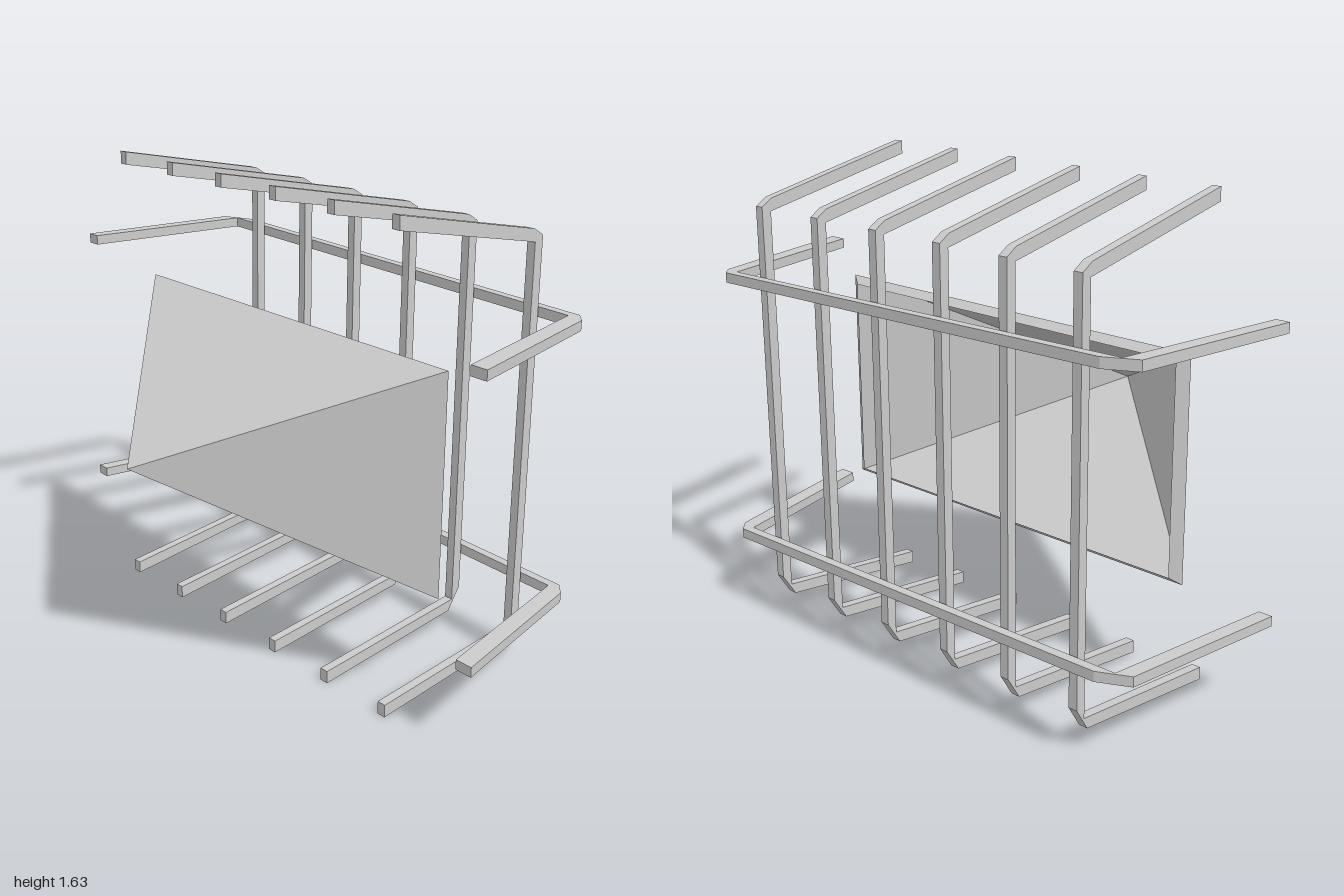
import * as THREE from 'three';

const material = new THREE.MeshStandardMaterial({ color: 0xcccccc, flatShading: true });
const openMaterial = new THREE.MeshStandardMaterial({ color: 0xcccccc, flatShading: true, side: THREE.DoubleSide });

// Bent flat-sided bar: closed outline extruded symmetrically by its thickness
function barGeometry(outline, thickness) {
  const shape = new THREE.Shape(outline.map(([x, y]) => new THREE.Vector2(x, y)));
  const geo = new THREE.ExtrudeGeometry(shape, { depth: thickness, bevelEnabled: false });
  return geo.translate(0, 0, -thickness / 2);
}

// Rectangular ring of corners at a given x
function ring(x, y0, y1, z0, z1) {
  return [[x, y0, z0], [x, y0, z1], [x, y1, z1], [x, y1, z0]];
}

// Open reflector: four-sided funnel with an inward-turned rim
function reflectorGeometry() {
  const apex = [-0.59, 0.78, 0];
  const outer = ring(0.06, 0.405, 1.158, -0.738, 0.748);
  const inner = ring(0.09, 0.43, 1.135, -0.705, 0.703);
  const pos = [];
  for (let i = 0; i < 4; i++) {
    const j = (i + 1) % 4;
    pos.push(...apex, ...outer[j], ...outer[i]);
    pos.push(...outer[i], ...outer[j], ...inner[j]);
    pos.push(...outer[i], ...inner[j], ...inner[i]);
  }
  const geo = new THREE.BufferGeometry();
  geo.setAttribute('position', new THREE.Float32BufferAttribute(pos, 3));
  geo.computeVertexNormals();
  return geo;
}

export function createModel() {
  const model = new THREE.Group();
  model.name = 'lampWithGuard';

  const add = (name, geo, mat = material) => {
    const mesh = new THREE.Mesh(geo, mat);
    mesh.name = name;
    model.add(mesh);
    return mesh;
  };

  add('reflector', reflectorGeometry(), openMaterial);

  // Upright guard bars with arms bent back at top and bottom
  const upright = barGeometry([
    [-0.09, 0.003], [0.49, 0.08], [0.54, 0.16], [0.54, 1.485], [0.5, 1.51], [-0.09, 1.633],
    [-0.09, 1.588], [0.505, 1.467], [0.505, 0.12], [-0.09, 0.047],
  ], 0.032);
  [0.66, 0.385, 0.115, -0.16, -0.425, -0.7].forEach((z, i) => {
    add('uprightBar' + (i + 1), upright).position.z = z;
  });

  // Cross rails, outline in x and -z, laid flat
  const rail = barGeometry([
    [-0.05, -0.995], [0.54, -0.85], [0.58, -0.81], [0.58, 0.81], [0.53, 0.915], [-0.05, 1],
    [-0.05, 0.952], [0.548, 0.862], [0.548, -0.79], [-0.05, -0.932],
  ], 0.034).rotateX(-Math.PI / 2);

  // Slight slope along the rail; the end arms stay level
  const p = rail.attributes.position;
  for (let i = 0; i < p.count; i++) {
    const z = THREE.MathUtils.clamp(p.getZ(i), -0.85, 0.85);
    p.setY(i, p.getY(i) - z * 0.0205);
  }
  rail.computeVertexNormals();
  add('lowerRail', rail).position.y = 0.311;
  add('upperRail', rail).position.y = 1.247;

  return model;
}
